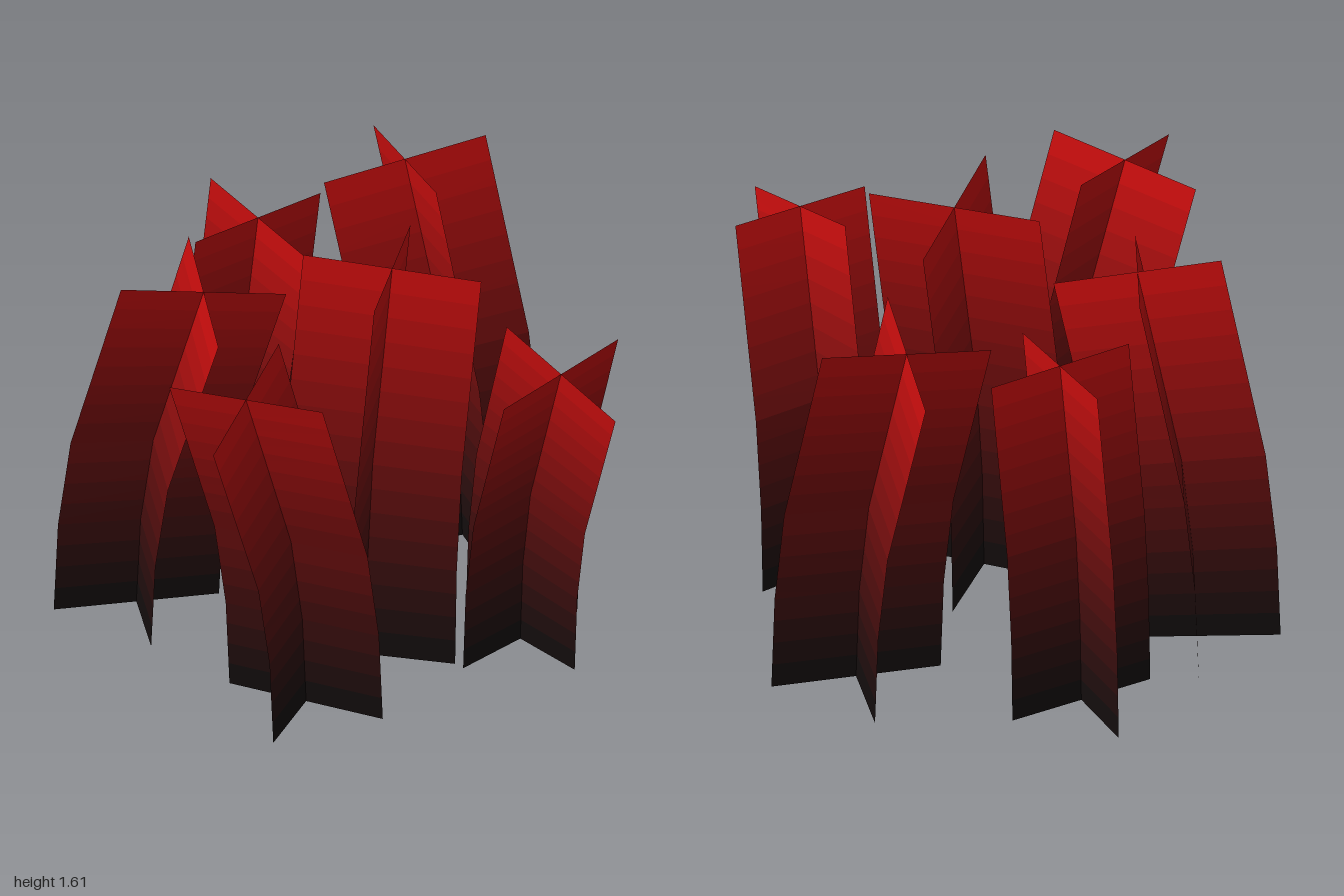
import * as THREE from 'three';

// Each tuft: base centre, lean of the tip, height, half width, direction of the first blade
const TUFTS = [
  { name: 'centreTuft', base: [0.10, 0.225], lean: [0.10, -0.085], h: 1.585, half: 0.325, dir: [0.63, 0.175] },
  { name: 'rightTuft', base: [-0.695, -0.175], lean: [0.228, 0.185], h: 1.43, half: 0.30, dir: [0.60, -0.065] },
  { name: 'backRightTuft', base: [-0.317, -0.617], lean: [0.083, 0.078], h: 1.38, half: 0.28, dir: [0.475, -0.31] },
  { name: 'backLeftTuft', base: [0.498, -0.53], lean: [-0.195, -0.164], h: 1.505, half: 0.31, dir: [0.595, -0.185] },
  { name: 'leftTuft', base: [0.657, 0.163], lean: [0.124, 0.32], h: 1.33, half: 0.282, dir: [0.435, -0.36] },
  { name: 'frontTuft', base: [-0.135, 0.518], lean: [-0.23, 0.207], h: 1.43, half: 0.298, dir: [0.53, 0.272] },
];

const ROWS = [0, 0.25, 0.5, 1]; // where the blades bend
const BANDS = 16; // colour steps from root to tip

// Dark root to red tip
const materials = Array.from({ length: BANDS }, (_, i) => {
  const t = (i + 0.5) / BANDS;
  const color = new THREE.Color().setRGB(0.05 + 0.75 * t, 0.05, 0.05, THREE.SRGBColorSpace);
  return new THREE.MeshStandardMaterial({ color, side: THREE.DoubleSide });
});

// Point on a blade at a bend row; the lean grows with the square of the height
function rowPoint(tuft, px, pz, t) {
  const [lx, lz] = tuft.lean;
  const tilt = (px * lx + pz * lz) / tuft.h;
  return new THREE.Vector3(
    tuft.base[0] + px + lx * t * t,
    tuft.h * t - tilt * t,
    tuft.base[1] + pz + lz * t * t
  );
}

// Straight interpolation between neighbouring bend rows
function bladePoint(tuft, px, pz, t) {
  const i = t < ROWS[1] ? 0 : t < ROWS[2] ? 1 : 2;
  const k = (t - ROWS[i]) / (ROWS[i + 1] - ROWS[i]);
  return rowPoint(tuft, px, pz, ROWS[i]).lerp(rowPoint(tuft, px, pz, ROWS[i + 1]), k);
}

// One colour band of a single blade
function bandGeometry(tuft, px, pz, t0, t1) {
  const corners = [
    bladePoint(tuft, -px, -pz, t0), bladePoint(tuft, px, pz, t0),
    bladePoint(tuft, px, pz, t1), bladePoint(tuft, -px, -pz, t1),
  ];
  const geometry = new THREE.BufferGeometry().setFromPoints(corners);
  geometry.setIndex([0, 1, 2, 0, 2, 3]);
  geometry.computeVertexNormals();
  return geometry;
}

export function createModel() {
  const model = new THREE.Group();
  model.name = 'grassClump';
  for (const tuft of TUFTS) {
    const group = new THREE.Group();
    group.name = tuft.name;
    const [dx, dz] = tuft.dir;
    const s = tuft.half / Math.hypot(dx, dz);
    // Two blades crossing at right angles
    [[dx * s, dz * s], [-dz * s, dx * s]].forEach(([px, pz], b) => {
      const blade = new THREE.Group();
      blade.name = b ? 'crossBlade' : 'mainBlade';
      for (let i = 0; i < BANDS; i++) {
        const band = new THREE.Mesh(
          bandGeometry(tuft, px, pz, i / BANDS, (i + 1) / BANDS), materials[i]);
        band.name = 'bladeBand';
        blade.add(band);
      }
      group.add(blade);
    });
    model.add(group);
  }
  return model;
}
